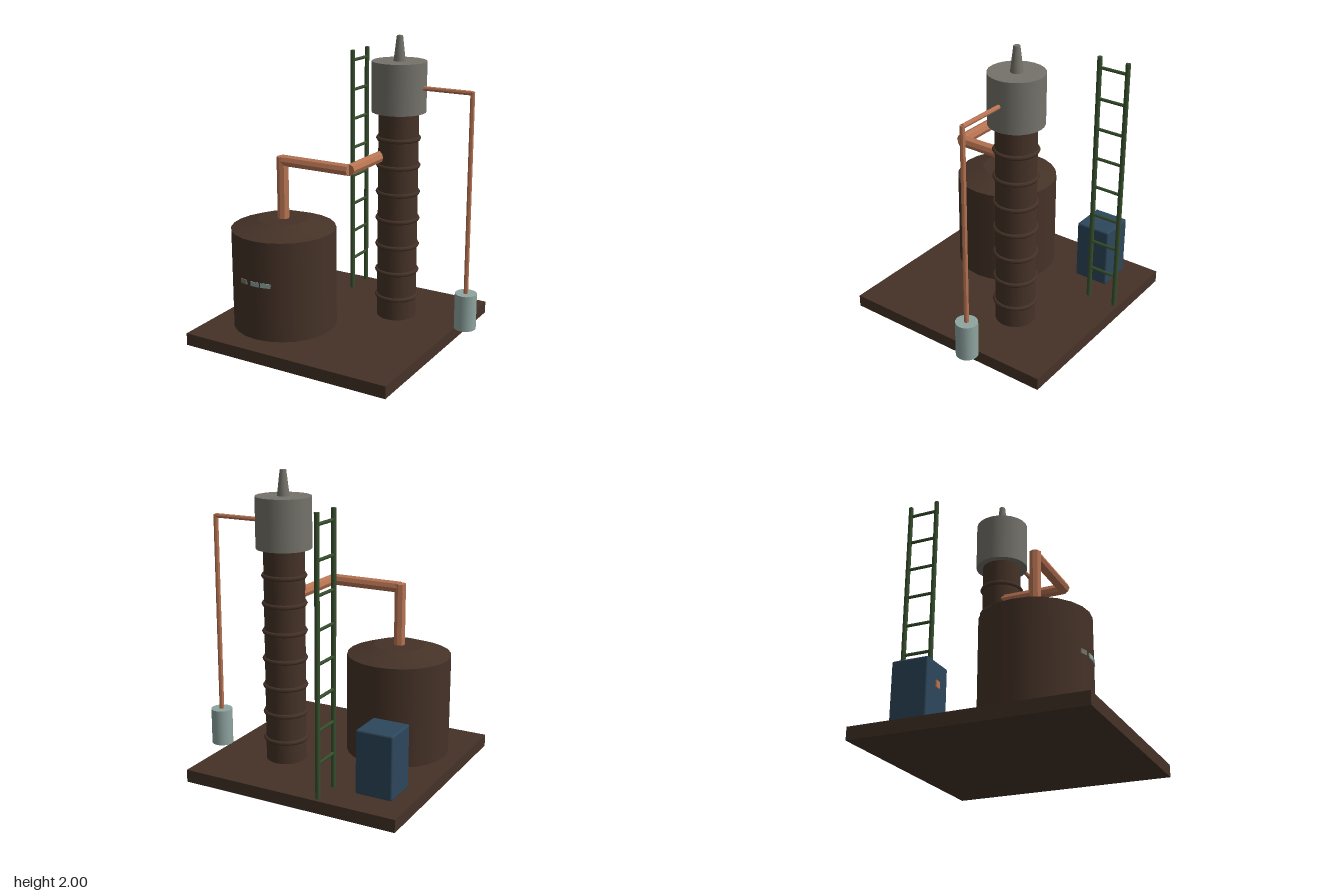
import * as THREE from 'three';
import { RoundedBoxGeometry } from 'three/addons/geometries/RoundedBoxGeometry.js';

const paint = (name, color, flatShading = false) => {
  const m = new THREE.MeshStandardMaterial({ color, flatShading });
  m.name = name;
  return m;
};

export function createModel() {
  const model = new THREE.Group();
  model.name = 'distillationPlant';
  const rust = paint('rustBrown', 0x453227);
  const steel = paint('steelGrey', 0x74726a);
  const copper = paint('copper', 0xb87453, true);
  const green = paint('ladderGreen', 0x364f2d);
  const blue = paint('cabinetBlue', 0x2d475c);
  const pale = paint('paleGlass', 0x8fa5a0);

  const add = (name, geometry, material, x, y, z, parent = model) => {
    const mesh = new THREE.Mesh(geometry, material);
    mesh.name = name;
    mesh.position.set(x, y, z);
    parent.add(mesh);
    return mesh;
  };

  // Upright cylinder given by its bottom and top heights
  const drum = (name, material, x, z, y0, y1, rBottom, rTop = rBottom, sides = 24) =>
    add(name, new THREE.CylinderGeometry(rTop, rBottom, y1 - y0, sides), material, x, (y0 + y1) / 2, z);

  // Straight round bar between two points
  const bar = (name, material, from, to, r, sides = 8, parent = model) => {
    const a = new THREE.Vector3(...from), b = new THREE.Vector3(...to);
    const mid = a.clone().add(b).multiplyScalar(0.5);
    const mesh = add(name, new THREE.CylinderGeometry(r, r, a.distanceTo(b), sides), material, mid.x, mid.y, mid.z, parent);
    mesh.quaternion.setFromUnitVectors(new THREE.Vector3(0, 1, 0), b.sub(a).normalize());
    return mesh;
  };

  // Ground slab
  add('baseSlab', new THREE.BoxGeometry(1.49, 0.083, 1.5), rust, -0.065, 0.0415, 0);

  // Boiler with a shallow conical lid
  const tx = -0.36, tz = 0.25;
  drum('boilerTank', rust, tx, tz, 0.083, 0.757, 0.348);
  drum('boilerLid', rust, tx, tz, 0.757, 0.82, 0.348, 0.168);

  // Plain painted dashes on the boiler front
  [[-0.087, 0.055, steel], [0.002, 0.06, pale], [0.08, 0.07, pale]].forEach(([dx, w, mat]) => {
    const angle = Math.asin(dx / 0.348);
    const dash = add('paintedDash', new THREE.BoxGeometry(w, 0.03, 0.006), mat,
      tx + dx, 0.467, tz + 0.348 * Math.cos(angle));
    dash.rotation.y = angle;
  });

  // Vapour pipe from the boiler to the column
  const vapour = new THREE.Group();
  vapour.name = 'vapourPipe';
  model.add(vapour);
  bar('vapourRiser', copper, [tx, 0.8, tz], [tx, 1.235, tz], 0.039, 8, vapour);
  bar('vapourCrossing', copper, [tx, 1.21, tz], [0.14, 1.21, tz], 0.038, 8, vapour);
  bar('vapourInlet', copper, [0.14, 1.21, tz], [0.14, 1.21, -0.2], 0.038, 8, vapour);

  // Column with evenly spaced hoops
  const cx = 0.225, cz = -0.25;
  drum('column', rust, cx, cz, 0.083, 1.51, 0.133);
  for (let i = 0; i < 7; i++) {
    const hoop = add('columnHoop', new THREE.TorusGeometry(0.133, 0.016, 6, 24), rust, cx, 0.23 + i * 0.1833, cz);
    hoop.rotation.x = Math.PI / 2;
  }

  // Condenser head and vent
  drum('condenserHead', steel, cx, cz, 1.505, 1.836, 0.18);
  drum('ventNozzle', steel, cx, cz, 1.836, 2, 0.041, 0.021, 8);

  // Product pipe down to the receiver
  bar('productPipeTop', copper, [0.38, 1.672, cz], [0.742, 1.672, cz], 0.015);
  bar('productPipeDrop', copper, [0.742, 1.68, cz], [0.742, 0.335, cz], 0.016);
  drum('receiver', pale, 0.742, cz, 0.088, 0.335, 0.073, 0.073, 16);

  // Free-standing ladder
  const ladder = new THREE.Group();
  ladder.name = 'ladder';
  model.add(ladder);
  const lx = -0.277, zFront = -0.515, zBack = -0.715;
  for (const z of [zFront, zBack]) bar('ladderRail', green, [lx, 0.083, z], [lx, 1.836, z], 0.0165, 8, ladder);
  for (let i = 0; i < 8; i++) {
    const y = 0.31 + i * 0.208;
    bar('ladderRung', green, [lx, y, zFront], [lx, y, zBack], 0.0115, 6, ladder);
  }

  // Control cabinet with a small front plate
  add('controlCabinet', new RoundedBoxGeometry(0.25, 0.42, 0.245, 2, 0.012), blue, -0.567, 0.292, -0.422);
  add('cabinetPlate', new THREE.BoxGeometry(0.045, 0.045, 0.009), copper, -0.567, 0.36, -0.296);

  return model;
}
